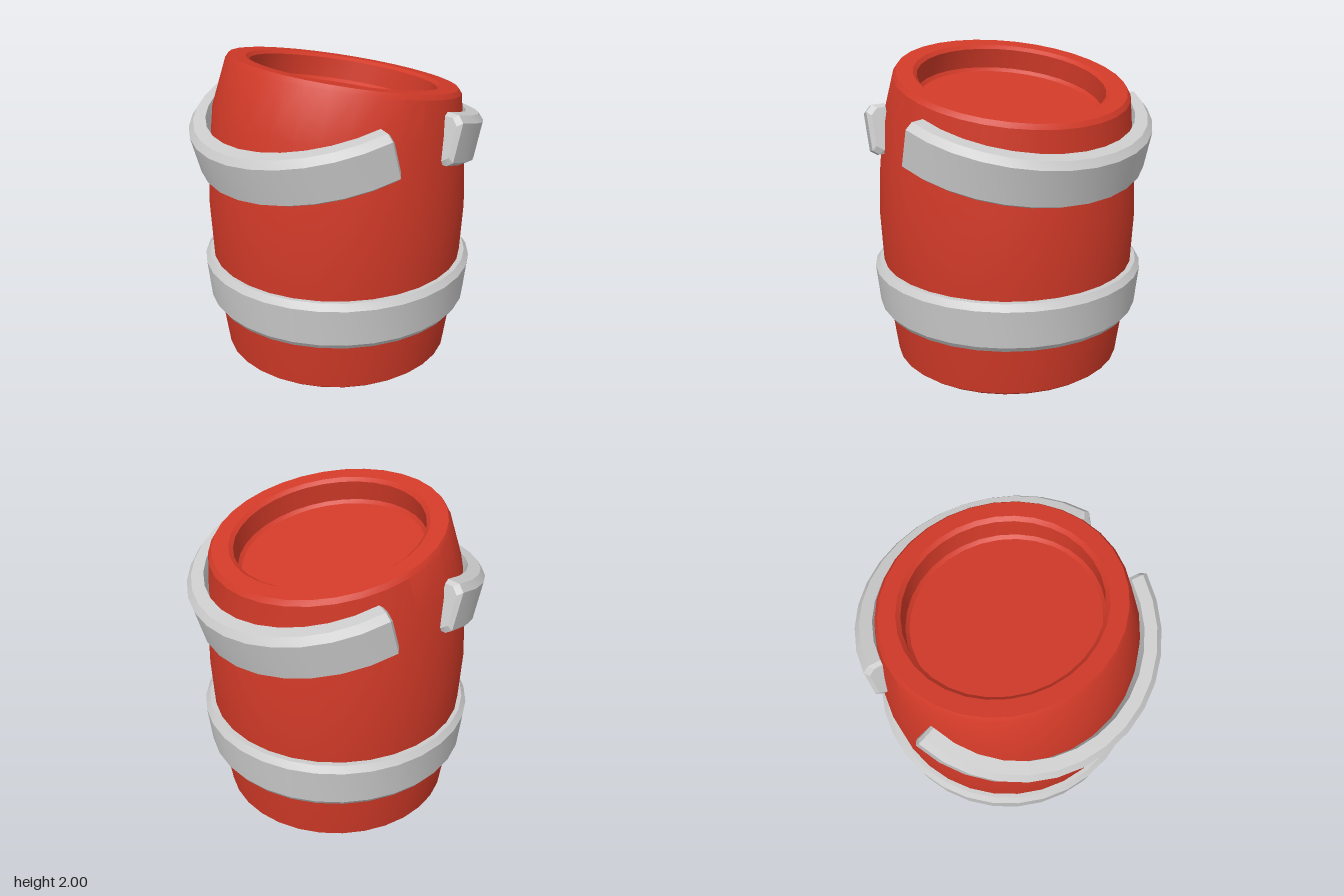
import * as THREE from 'three';
import { toCreasedNormals } from 'three/addons/utils/BufferGeometryUtils.js';

const SIDES = 32;
const red = new THREE.MeshStandardMaterial({ color: 0xd23a28 });
const grey = new THREE.MeshStandardMaterial({ color: 0xcccccc });

// Skin a row of closed cross-sections (arrays of [x, y, z]) and cap both ends
function loft(sections) {
  const n = sections[0].length;
  const last = (sections.length - 1) * n;
  const index = [];
  for (let i = 0; i < sections.length - 1; i++) {
    for (let j = 0; j < n; j++) {
      const k = (j + 1) % n;
      const a = i * n + j, b = i * n + k, c = a + n, d = b + n;
      index.push(a, c, b, b, c, d);
    }
  }
  for (let j = 1; j < n - 1; j++) {
    index.push(0, j, j + 1, last, last + j + 1, last + j);
  }
  const geo = new THREE.BufferGeometry();
  geo.setAttribute('position', new THREE.Float32BufferAttribute(sections.flat(2), 3));
  geo.setIndex(index);
  return toCreasedNormals(geo, 0.4);
}

function addMesh(parent, name, geometry, material) {
  const mesh = new THREE.Mesh(geometry, material);
  mesh.name = name;
  parent.add(mesh);
  return mesh;
}

// Ring of the barrel: radius, height, sideways shift, slope along x
function ring([r, y, cx = 0, slope = 0]) {
  const points = [];
  for (let j = 0; j < SIDES; j++) {
    const t = (j / SIDES) * Math.PI * 2;
    const x = r * Math.cos(t);
    points.push([cx + x, y + slope * x, r * Math.hypot(1, slope) * Math.sin(t)]);
  }
  return points;
}

// Bevelled bar swept around an arc, with slightly shrunk ends
function splitHoop() {
  const end = THREE.MathUtils.degToRad(80);
  const bevel = 0.025;
  const angles = [-end];
  const steps = 14;
  for (let i = 0; i <= steps; i++) {
    angles.push((end - bevel) * ((2 * i) / steps - 1));
  }
  angles.push(end);
  const profile = [[0.83, -0.155], [0.75, -0.155], [0.75, 0.155],
    [0.83, 0.155], [0.87, 0.115], [0.87, -0.125]];
  const sections = angles.map((phi) => {
    const s = Math.abs(phi) === end ? 0.025 : 0;
    return profile.map(([r, y]) => {
      const rr = r > 0.8 ? r - s : r;
      const yy = y - Math.sign(y) * s;
      return [0.075 + rr * Math.cos(phi), yy, rr * Math.sin(phi)];
    });
  });
  return loft(sections);
}

export function createModel() {
  const model = new THREE.Group();
  model.name = 'barrel';

  // Barrel: bottom recess, bulging wall bent to a slanted rim, top recess
  const rings = [
    [0.56, 0.17], [0.58, 0.15], [0.58, 0.02], [0.60, 0], [0.72, 0], [0.745, 0.02],
    [0.79, 0.35], [0.82, 0.67], [0.835, 1.0], [0.82, 1.3],
    [0.79, 1.6, 0.01, -0.08],
    [0.735, 1.83, 0.06, -0.193], [0.715, 1.86, 0.06, -0.197],
    [0.61, 1.86, 0.06, -0.197], [0.585, 1.84, 0.056, -0.197],
    [0.585, 1.71, 0.03, -0.197], [0.565, 1.69, 0.026, -0.197],
  ];
  addMesh(model, 'barrelBody', loft(rings.map(ring)), red);

  // Full lower hoop
  const hoopProfile = [[0.77, 0.35], [0.83, 0.355], [0.855, 0.39],
    [0.88, 0.635], [0.85, 0.675], [0.77, 0.675]].map(([r, y]) => new THREE.Vector2(r, y));
  const lower = new THREE.LatheGeometry(hoopProfile, SIDES);
  addMesh(model, 'lowerHoop', toCreasedNormals(lower, 0.4), grey).position.x = 0.005;

  // Broken upper hoop: two drooping halves
  const half = splitHoop();
  for (const [name, turn] of [['leftUpperHoop', 0], ['rightUpperHoop', Math.PI]]) {
    const holder = new THREE.Group();
    holder.name = name;
    holder.position.y = 1.636;
    holder.rotation.y = turn;
    addMesh(holder, name + 'Band', half, grey).rotation.z = THREE.MathUtils.degToRad(-16);
    model.add(holder);
  }
  return model;
}
